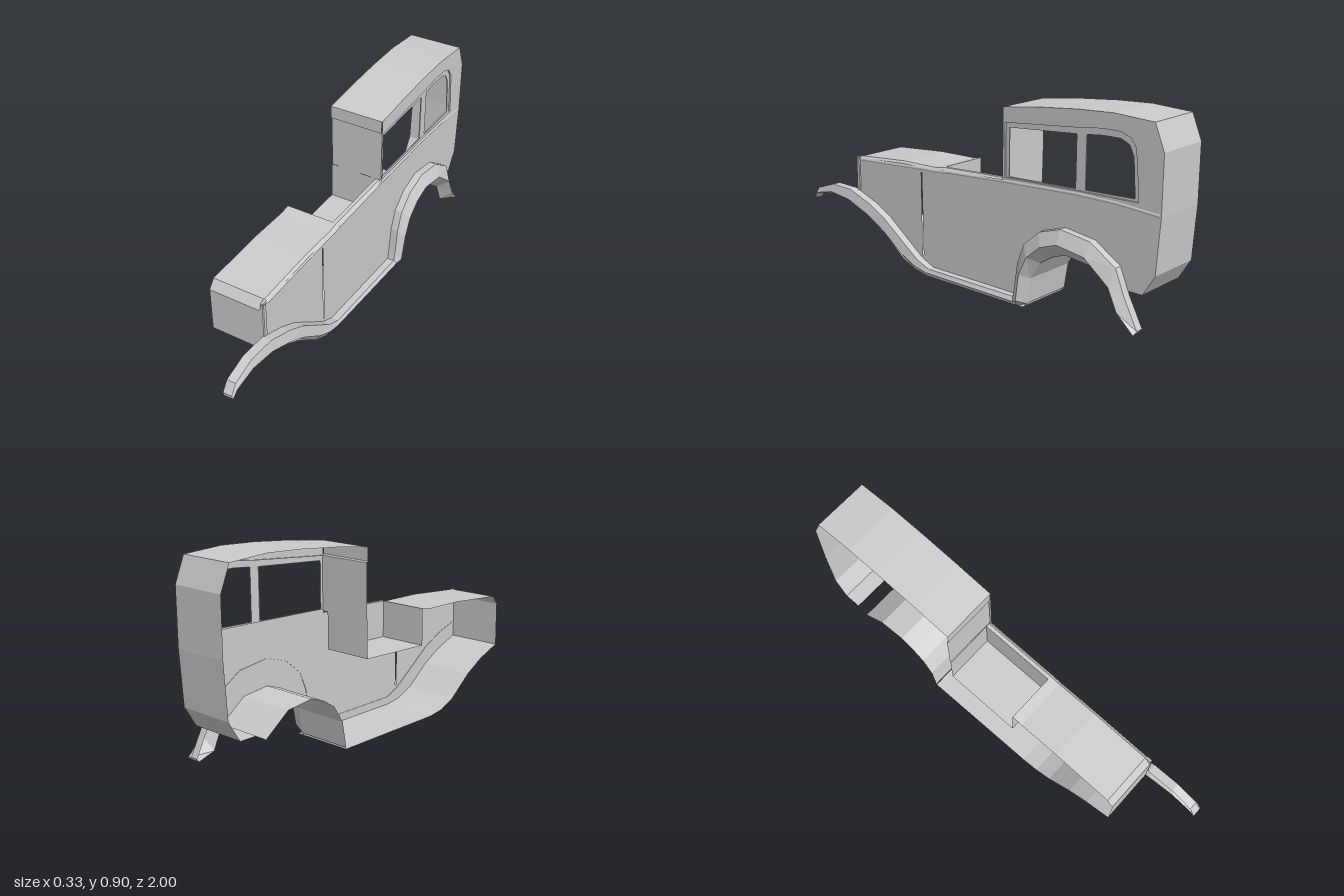
import * as THREE from 'three';

const INNER = -0.163, SIDE = 0.1;
const mat = new THREE.MeshStandardMaterial({ color: 0xcccccc, flatShading: true, side: THREE.DoubleSide });

// Skin a list of cross-sections, each a row of [x, y, z]
function loft(name, rows) {
  const pos = [], idx = [], n = rows[0].length;
  rows.forEach(r => r.forEach(p => pos.push(...p)));
  for (let i = 0; i < rows.length - 1; i++) {
    for (let j = 0; j < n - 1; j++) {
      const a = i * n + j, b = a + n;
      idx.push(a, a + 1, b, b, a + 1, b + 1);
    }
  }
  const g = new THREE.BufferGeometry();
  g.setAttribute('position', new THREE.Float32BufferAttribute(pos, 3));
  g.setIndex(idx);
  const flat = g.toNonIndexed();
  flat.computeVertexNormals();
  const mesh = new THREE.Mesh(flat, mat);
  mesh.name = name;
  return mesh;
}

// Run a [z, y] path straight across between two x values
const strip = (name, path, xa = INNER, xb = SIDE) =>
  loft(name, path.map(([z, y]) => [[xa, y, z], [xb, y, z]]));

// Flat panel facing +x, cut from [z, y] outlines
function plate(name, outline, holes, x) {
  const pts = o => o.map(([z, y]) => new THREE.Vector2(-z, y));
  const shape = new THREE.Shape(pts(outline));
  holes.forEach(h => shape.holes.push(new THREE.Path(pts(h))));
  const g = new THREE.ShapeGeometry(shape);
  g.rotateY(Math.PI / 2).translate(x, 0, 0);
  const mesh = new THREE.Mesh(g, mat);
  mesh.name = name;
  return mesh;
}

// Raised moulding following a [z, y] path on the side
const moulding = (name, path, h, d) => loft(name, path.map(([z, y]) =>
  [[SIDE, y + h, z], [SIDE + d, y + h * 0.3, z], [SIDE + d, y - h * 0.3, z], [SIDE, y - h, z]]));

export function createModel() {
  const car = new THREE.Group();
  car.name = 'halfCarBody';

  // Profiles as [z, y]
  const floor = [[0.72, 0.245], [0.6, 0.2], [0.5, 0.145], [0.38, 0.05], [0.3, 0.015], [0.22, 0.003], [-0.35, 0.003]];
  const arch = [[-0.35, 0.01], [-0.37, 0.13], [-0.42, 0.21], [-0.48, 0.25], [-0.55, 0.275], [-0.68, 0.26], [-0.8, 0.17]];
  const rear = [[-0.85, 0.2], [-0.93, 0.2], [-0.985, 0.29], [-1, 0.53], [-1, 0.78], [-0.955, 0.89]];
  const roof = [[-0.955, 0.89], [-0.77, 0.9], [-0.6, 0.892], [-0.4, 0.874], [-0.21, 0.85]];
  const top = [[0.69, 0.49], [0.4, 0.513], [0.27, 0.515], [0.2, 0.516], [0.15, 0.525], [-0.215, 0.542]];
  const trim = [[-0.222, 0.548], [-0.222, 0.785], [-0.6, 0.818], [-0.72, 0.832], [-0.8, 0.832], [-0.85, 0.815],
    [-0.875, 0.78], [-0.885, 0.7], [-0.895, 0.567], [-0.6, 0.56]];

  // Outer shell running across the body
  car.add(strip('floor', floor));
  car.add(strip('rearWheelWell', arch));
  car.add(strip('rearPanel', rear));
  car.add(strip('roof', roof));
  car.add(strip('frontPanel', [[0.72, 0.245], [0.72, 0.45]]));
  car.add(strip('windscreen', [[-0.21, 0.85], [-0.21, 0.79], [-0.218, 0.785], [-0.218, 0.54]], INNER, 0.097));

  // Bonnet with a bevelled nose and shoulder
  const shoulder = (z, y, x) => [[x, y, z], [0.088, y, z], [SIDE, y - 0.012, z]];
  const bonnet = top.filter(p => p[0] >= 0.15).map(([z, y]) => shoulder(z, y, INNER));
  bonnet.unshift([[INNER, 0.45, 0.72], [0.09, 0.45, 0.72], [SIDE, 0.478, 0.72]]);
  car.add(loft('bonnet', bonnet));
  car.add(loft('bonnetCorner', [
    [[0.085, 0.45, 0.72], [SIDE, 0.45, 0.72]], [[0.088, 0.488, 0.718], [SIDE, 0.488, 0.72]],
    [[0.088, 0.49, 0.69], [SIDE, 0.488, 0.69]]]));

  // Open well between bonnet and windscreen
  const well = [[0.15, 0.525], [0.15, 0.355], [-0.215, 0.37], [-0.215, 0.542]];
  car.add(strip('cockpitWell', well, INNER, 0.07));
  car.add(plate('cockpitSide', well, [], 0.07));
  car.add(loft('cockpitSill', top.slice(-2).map(([z, y]) => shoulder(z, y, 0.07))));

  // Body side, with the window recess and door gap cut out
  const outline = [...floor, ...arch, ...rear, ...roof.slice(1), [-0.21, 0.542],
    ...top.map(([z, y]) => [z, y - 0.01]).reverse(), [0.72, 0.48]];
  const doorGap = [[0.281, 0.48], [0.277, 0.48], [0.272, 0.085], [0.278, 0.085]];
  car.add(plate('bodySide', outline, [trim, doorGap], SIDE));

  // Recessed window frame and its step
  const frontWindow = [[-0.24, 0.553], [-0.24, 0.765], [-0.59, 0.79], [-0.59, 0.565]];
  const rearWindow = [[-0.638, 0.568], [-0.638, 0.795], [-0.72, 0.803], [-0.8, 0.803], [-0.84, 0.785],
    [-0.862, 0.74], [-0.868, 0.66], [-0.874, 0.577]];
  car.add(plate('windowFrame', trim, [frontWindow, rearWindow], 0.092));
  car.add(strip('windowRecess', [...trim, trim[0]], 0.092, SIDE));
  [frontWindow, rearWindow].forEach(w => car.add(strip('windowReveal', [...w, w[0]], 0.087, 0.092)));

  // Waist and radiator-shell mouldings
  car.add(moulding('waistMoulding', [[0.69, 0.475], [0.27, 0.5], [0.2, 0.502], [0.1, 0.512], [-0.22, 0.53],
    [-0.6, 0.547], [-0.8, 0.546], [-0.995, 0.533]], 0.007, 0.003));
  car.add(loft('radiatorEdge', [0.32, 0.485].map(y =>
    [[SIDE, y, 0.722], [0.104, y, 0.718], [0.104, y, 0.702], [SIDE, y, 0.698]])));

  // Wings and running board as one band: [topZ, topY, ridgeZ, ridgeY, lowZ, lowY, topX, ridgeX, lowX]
  const band = [
    [1, 0.245, 1, 0.235, 0.998, 0.228, 0.14, 0.148, 0.1],
    [0.97, 0.29, 0.975, 0.265, 0.98, 0.25, 0.14, 0.15, 0.1],
    [0.86, 0.328, 0.865, 0.29, 0.87, 0.272, 0.14, 0.15, 0.1],
    [0.73, 0.325, 0.735, 0.275, 0.74, 0.25, 0.14, 0.15, 0.1],
    [0.6, 0.28, 0.6, 0.225, 0.6, 0.2, 0.14, 0.15, 0.105],
    [0.5, 0.23, 0.5, 0.17, 0.5, 0.145, 0.14, 0.148, 0.11],
    [0.37, 0.135, 0.375, 0.08, 0.38, 0.05, 0.138, 0.146, 0.12],
    [0.28, 0.07, 0.29, 0.038, 0.3, 0.015, 0.136, 0.144, 0.128],
    [0.21, 0.04, 0.215, 0.022, 0.22, 0.002, 0.134, 0.142, 0.13],
    [-0.3, 0.04, -0.31, 0.022, -0.32, 0.002, 0.134, 0.146, 0.13],
    [-0.308, 0.08, -0.335, 0.035, -0.35, 0.01, 0.135, 0.158, 0.1],
    [-0.325, 0.2, -0.355, 0.16, -0.37, 0.13, 0.135, 0.163, 0.1],
    [-0.36, 0.29, -0.395, 0.245, -0.42, 0.21, 0.135, 0.163, 0.1],
    [-0.44, 0.36, -0.465, 0.305, -0.48, 0.25, 0.135, 0.163, 0.1],
    [-0.55, 0.395, -0.55, 0.335, -0.55, 0.275, 0.135, 0.163, 0.1],
    [-0.7, 0.375, -0.69, 0.315, -0.68, 0.26, 0.135, 0.163, 0.1],
  ];
  // Tail of the rear wing
  band.push([-0.825, 0.295, -0.81, 0.22, -0.8, 0.17, 0.135, 0.163, 0.1],
    [-0.87, 0.185, -0.855, 0.125, -0.845, 0.07, 0.135, 0.163, 0.1],
    [-0.935, 0.06, -0.933, 0.05, -0.925, 0.045, 0.135, 0.16, 0.1]);
  const sections = band.map(([tz, ty, rz, ry, lz, ly, tx, rx, lx]) =>
    [[0.098, ty, tz], [tx, ty, tz], [rx, ry, rz], [lx, ly, lz]]);
  car.add(loft('wingsAndRunningBoard', sections));
  car.add(strip('runningBoardUnderside', floor.slice(1), SIDE, 0.128));
  // Closed wing tips
  [sections[0], sections[sections.length - 1]].forEach(s =>
    car.add(loft('wingTip', [[s[0], s[1]], [s[3], s[2]]])));

  return car;
}
